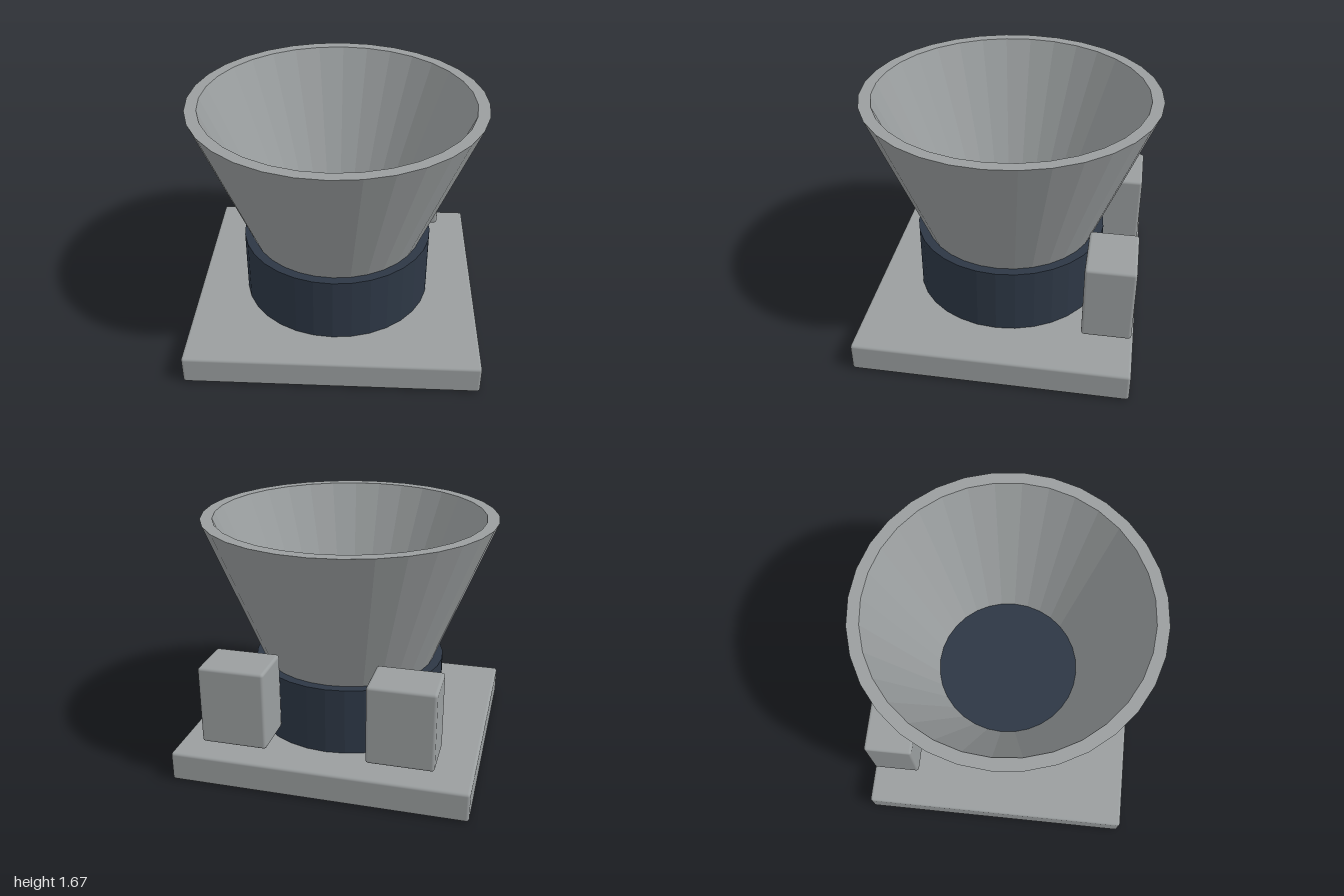
import * as THREE from 'three';
import { RoundedBoxGeometry } from 'three/addons/geometries/RoundedBoxGeometry.js';

export function createModel() {
  const model = new THREE.Group();
  const grey = new THREE.MeshStandardMaterial({ color: 0x9a9e9f });
  grey.name = 'light grey';
  const navy = new THREE.MeshStandardMaterial({ color: 0x2d3745 });
  navy.name = 'dark navy';
  const SIDES = 32;

  function add(name, geometry, material, x, y, z) {
    const mesh = new THREE.Mesh(geometry, material);
    mesh.name = name;
    mesh.position.set(x, y, z);
    model.add(mesh);
  }

  // Faceted geometry: each flat side gets its own normal
  function faceted(geometry) {
    const flat = geometry.toNonIndexed();
    flat.computeVertexNormals();
    return flat;
  }

  // Square base slab with softened edges
  add('base', new RoundedBoxGeometry(2, 0.205, 1.87, 2, 0.02), grey, 0, 0.1025, 0);

  // Dark collar drum
  add('collar', faceted(new THREE.CylinderGeometry(0.665, 0.665, 0.465, SIDES)), navy, 0, 0.4375, 0);

  // Hollow funnel: outer wall, flat rim, inner wall, closed underneath
  const profile = [[0.48, 0.63], [0.585, 0.63], [1, 1.67], [0.92, 1.67], [0.48, 0.63]]
    .map(([r, y]) => new THREE.Vector2(r, y));
  add('funnel', faceted(new THREE.LatheGeometry(profile, SIDES)), grey, 0, 0, 0);

  // Pair of blocks at the rear
  for (const side of [-1, 1]) {
    add(side > 0 ? 'leftBlock' : 'rightBlock',
      new RoundedBoxGeometry(0.44, 0.535, 0.33, 2, 0.02), grey, side * 0.548, 0.585, -0.752);
  }

  return model;
}
